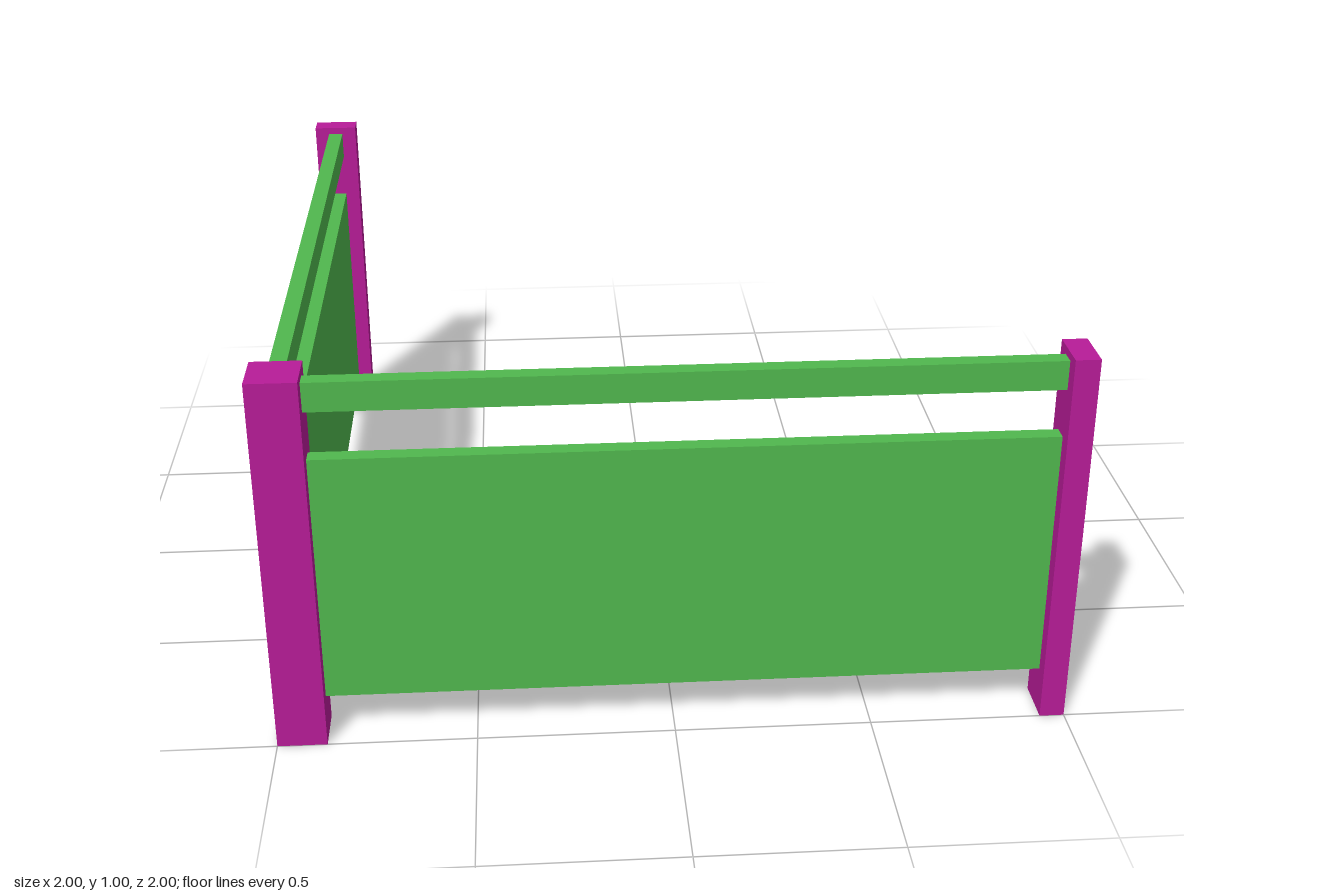
import * as THREE from 'three';

const POST = 0.125;          // full post width
const MID = 1 - POST / 2;    // centre line of each fence run
const THICK = 0.042;         // board thickness

export function createModel() {
  const model = new THREE.Group();
  model.name = 'cornerFence';
  const postMaterial = new THREE.MeshStandardMaterial({ color: 0xb81c98 });
  const boardMaterial = new THREE.MeshStandardMaterial({ color: 0x50b84e });

  // Box given by its lower and upper corners
  function addBox(parent, name, material, [x0, y0, z0], [x1, y1, z1]) {
    const mesh = new THREE.Mesh(new THREE.BoxGeometry(x1 - x0, y1 - y0, z1 - z0), material);
    mesh.position.set((x0 + x1) / 2, (y0 + y1) / 2, (z0 + z1) / 2);
    mesh.name = name;
    parent.add(mesh);
  }

  // Square corner post shared by both runs
  addBox(model, 'cornerPost', postMaterial, [-1, 0, 1 - POST], [-1 + POST, 1, 1]);

  // One run along x: half-width end post, top rail and solid panel
  function fenceRun(name) {
    const run = new THREE.Group();
    run.name = name;
    const start = -1 + POST, end = 1 - POST / 2;
    const back = MID - THICK / 2, front = MID + THICK / 2;
    addBox(run, 'endPost', postMaterial, [end, 0, 1 - POST], [1, 1, 1]);
    addBox(run, 'topRail', boardMaterial, [start, 0.904, back], [end, 0.98, front]);
    addBox(run, 'panel', boardMaterial, [start, 0.116, back], [end, 0.779, front]);
    return run;
  }

  const frontRun = fenceRun('frontRun');
  // Quarter turn takes the run to the right side; sliding it along z flips the end post to the back
  const sideRun = fenceRun('sideRun');
  sideRun.rotation.y = Math.PI / 2;
  sideRun.position.x = -2 * MID;
  model.add(frontRun, sideRun);
  return model;
}
